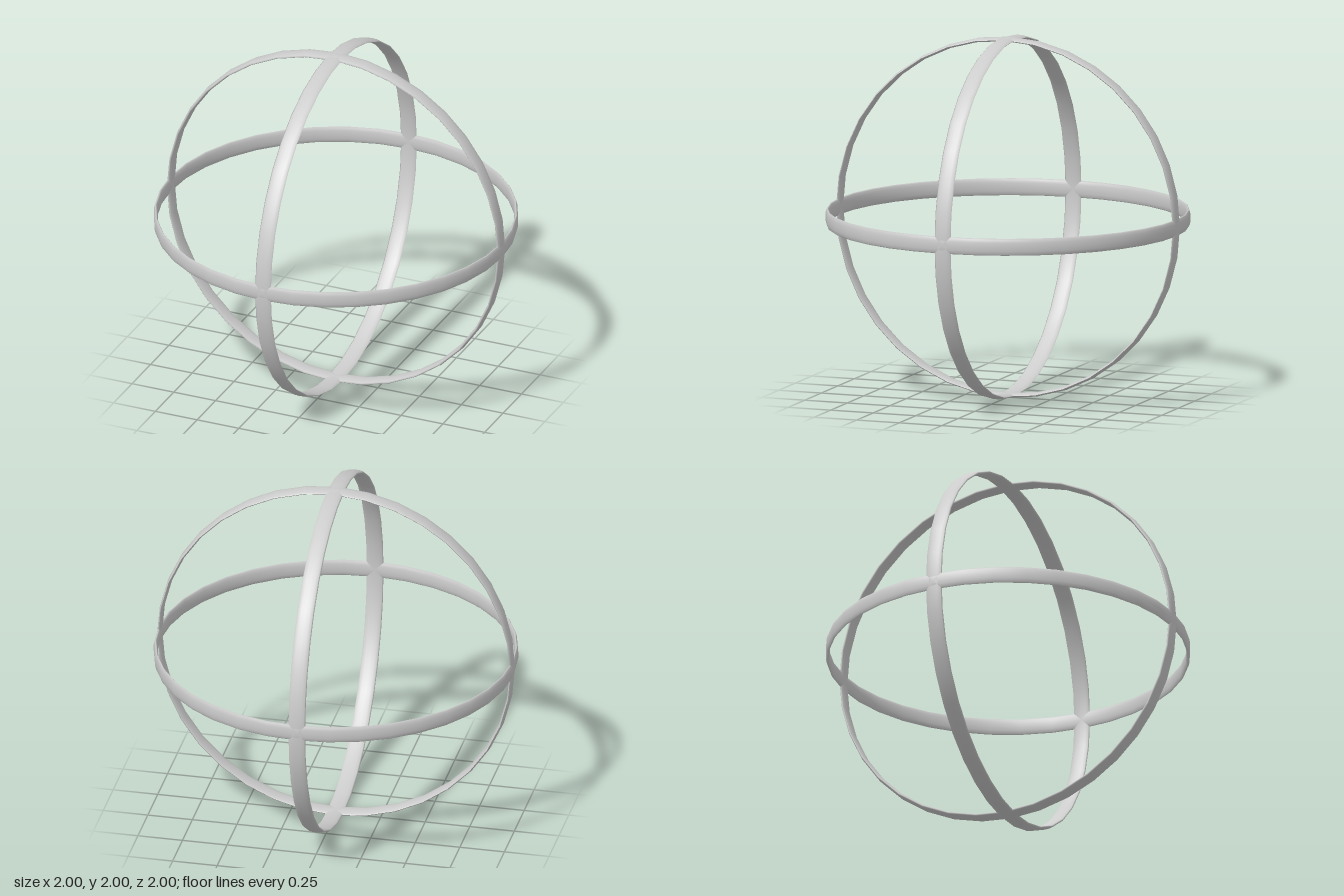
import * as THREE from 'three';

const HALF_WIDTH = 0.047;     // across the band
const HALF_THICKNESS = 0.011; // radially
const SECTION_POINTS = 12;
const RING_SEGMENTS = 36;

export function createModel() {
  const model = new THREE.Group();
  model.name = 'ringSphere';
  const material = new THREE.MeshStandardMaterial({ color: 0xcccccc });

  // Flattened oval section, starting at its lower tip, swept around y
  const section = [];
  for (let i = 0; i <= SECTION_POINTS; i++) {
    const a = -Math.PI / 2 + (i / SECTION_POINTS) * Math.PI * 2;
    section.push(new THREE.Vector2(
      1 - HALF_THICKNESS + HALF_THICKNESS * Math.cos(a),
      HALF_WIDTH * Math.sin(a)
    ));
  }
  const band = new THREE.LatheGeometry(section, RING_SEGMENTS);

  // Three equal rings, one in each principal plane
  const addRing = (name, rx, rz) => {
    const ring = new THREE.Mesh(band, material);
    ring.name = name;
    ring.rotation.set(rx, 0, rz);
    ring.position.y = 1;
    model.add(ring);
  };
  addRing('horizontalRing', 0, 0);
  addRing('frontFacingRing', Math.PI / 2, 0);
  addRing('sideFacingRing', 0, Math.PI / 2);

  return model;
}
